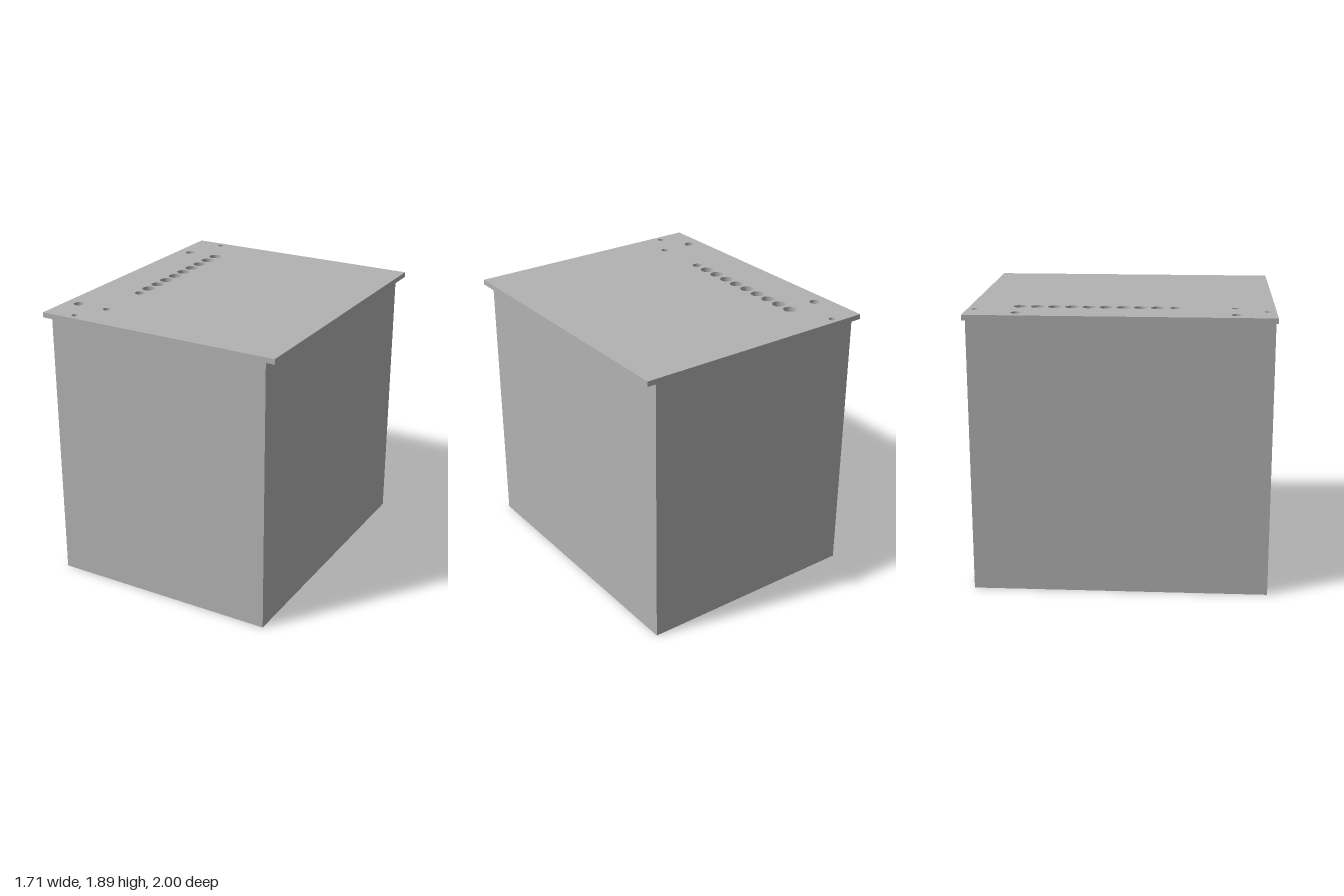
import * as THREE from 'three';

export function createModel() {
  const group = new THREE.Group();
  const grey = new THREE.MeshStandardMaterial({ color: 0xb2b2b2 });
  grey.name = 'grey';

  const bodyHeight = 1.86, lidThickness = 0.035;

  // Plain cabinet body
  const body = new THREE.Mesh(new THREE.BoxGeometry(1.58, bodyHeight, 1.98), grey);
  body.name = 'body';
  body.position.y = bodyHeight / 2;
  group.add(body);

  // Drilled holes in the lid: [x, z, radius]
  const holes = [
    [-0.65, -0.95, 0.022],
    [-0.755, -0.667, 0.034],
    [-0.535, 0.347, 0.034],
    [-0.757, 0.742, 0.034],
    [-0.53, 0.742, 0.026],
    [-0.64, 0.945, 0.022],
  ];
  for (let i = 0; i < 9; i++) holes.push([-0.535, -0.667 + i * 0.1127, 0.045]);

  // Overhanging lid plate
  const outline = new THREE.Shape([
    new THREE.Vector2(-0.855, -1),
    new THREE.Vector2(0.855, -1),
    new THREE.Vector2(0.855, 1),
    new THREE.Vector2(-0.855, 1),
  ]);
  for (const [x, z, radius] of holes) {
    outline.holes.push(new THREE.Path().absarc(x, -z, radius, 0, Math.PI * 2, true));
  }
  const lidGeometry = new THREE.ExtrudeGeometry(outline, {
    depth: lidThickness, bevelEnabled: false, curveSegments: 16,
  });
  lidGeometry.rotateX(-Math.PI / 2);
  const lid = new THREE.Mesh(lidGeometry, grey);
  lid.name = 'lid';
  lid.position.y = bodyHeight;
  group.add(lid);

  return group;
}
